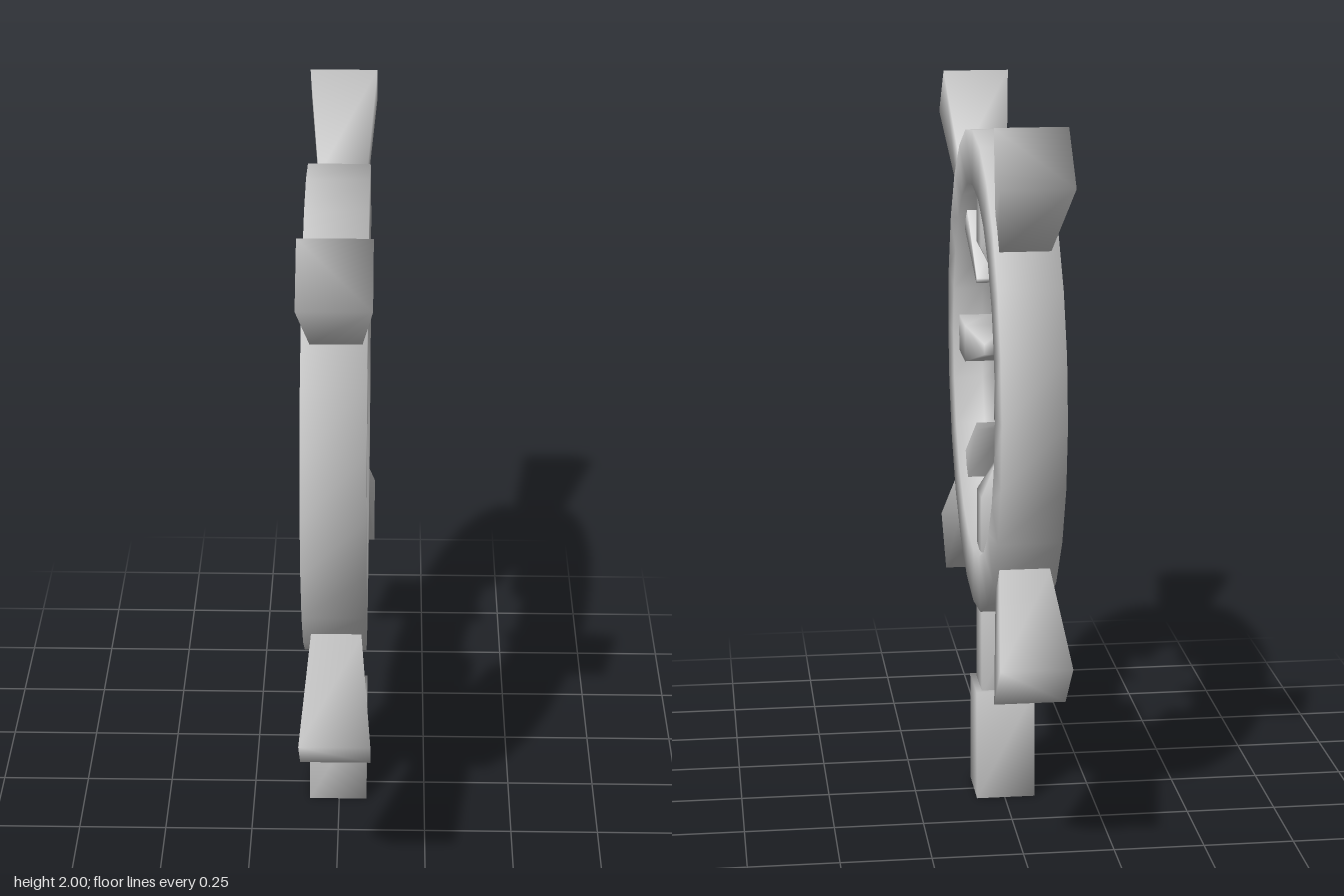
import * as THREE from 'three';

const material = new THREE.MeshStandardMaterial({ color: 0xcccccc });
const CENTER_Y = 1.24;

// Smooth-shaded bar of rectangular sections [y, halfX, halfZ], listed upwards
function loftBar(sections) {
  const corners = [[-1, -1], [1, -1], [1, 1], [-1, 1]];
  const positions = [];
  const index = [0, 1, 2, 0, 2, 3];
  sections.forEach(([y, hx, hz], row) => {
    for (const [sx, sz] of corners) positions.push(sx * hx, y, sz * hz);
    if (row === 0) return;
    for (let i = 0; i < 4; i++) {
      const a = (row - 1) * 4 + i;
      const b = (row - 1) * 4 + (i + 1) % 4;
      index.push(a, a + 4, b, b, a + 4, b + 4);
    }
  });
  const t = (sections.length - 1) * 4;
  index.push(t, t + 2, t + 1, t, t + 3, t + 2);
  const geometry = new THREE.BufferGeometry();
  geometry.setAttribute('position', new THREE.Float32BufferAttribute(positions, 3));
  geometry.setIndex(index);
  geometry.computeVertexNormals();
  return geometry;
}

export function createModel() {
  const group = new THREE.Group();
  const add = (name, geometry, x, y, z = 0) => {
    const mesh = new THREE.Mesh(geometry, material);
    mesh.name = name;
    mesh.position.set(x, y, z);
    group.add(mesh);
    return mesh;
  };

  // Ring standing in the YZ plane, square in section
  const profile = [[0.52, 0], [0.52, -0.085], [0.672, -0.085], [0.672, 0.085], [0.52, 0.085], [0.52, 0]]
    .map(([r, h]) => new THREE.Vector2(r, h));
  const ring = new THREE.LatheGeometry(profile, 24);
  ring.rotateZ(Math.PI / 2);
  add('ring', ring, -0.005, CENTER_Y);

  // Four flared diagonal arms that pass through the ring and end in thin blades
  const arm = loftBar([
    [0.30, 0.045, 0.011],
    [0.51, 0.058, 0.045],
    [0.67, 0.068, 0.0625],
    [0.98, 0.095, 0.096],
  ]);
  // Four blunt spikes pointing inwards
  const spike = loftBar([
    [0.265, 0.02, 0.015],
    [0.355, 0.066, 0.053],
    [0.60, 0.066, 0.053],
  ]);
  for (let i = 0; i < 4; i++) {
    const angle = i * Math.PI / 2;
    add('diagonalArm' + (i + 1), arm, 0, CENTER_Y).rotation.x = angle + Math.PI / 4;
    add('innerSpike' + (i + 1), spike, -0.003, CENTER_Y).rotation.x = angle;
  }

  // Neck and grip below the ring
  add('neck', loftBar([[0.3, 0.067, 0.066], [0.62, 0.067, 0.066]]), -0.003, 0, 0.003);
  add('grip', loftBar([[0, 0.083, 0.085], [0.32, 0.083, 0.085]]), -0.003, 0, 0.005);

  return group;
}
